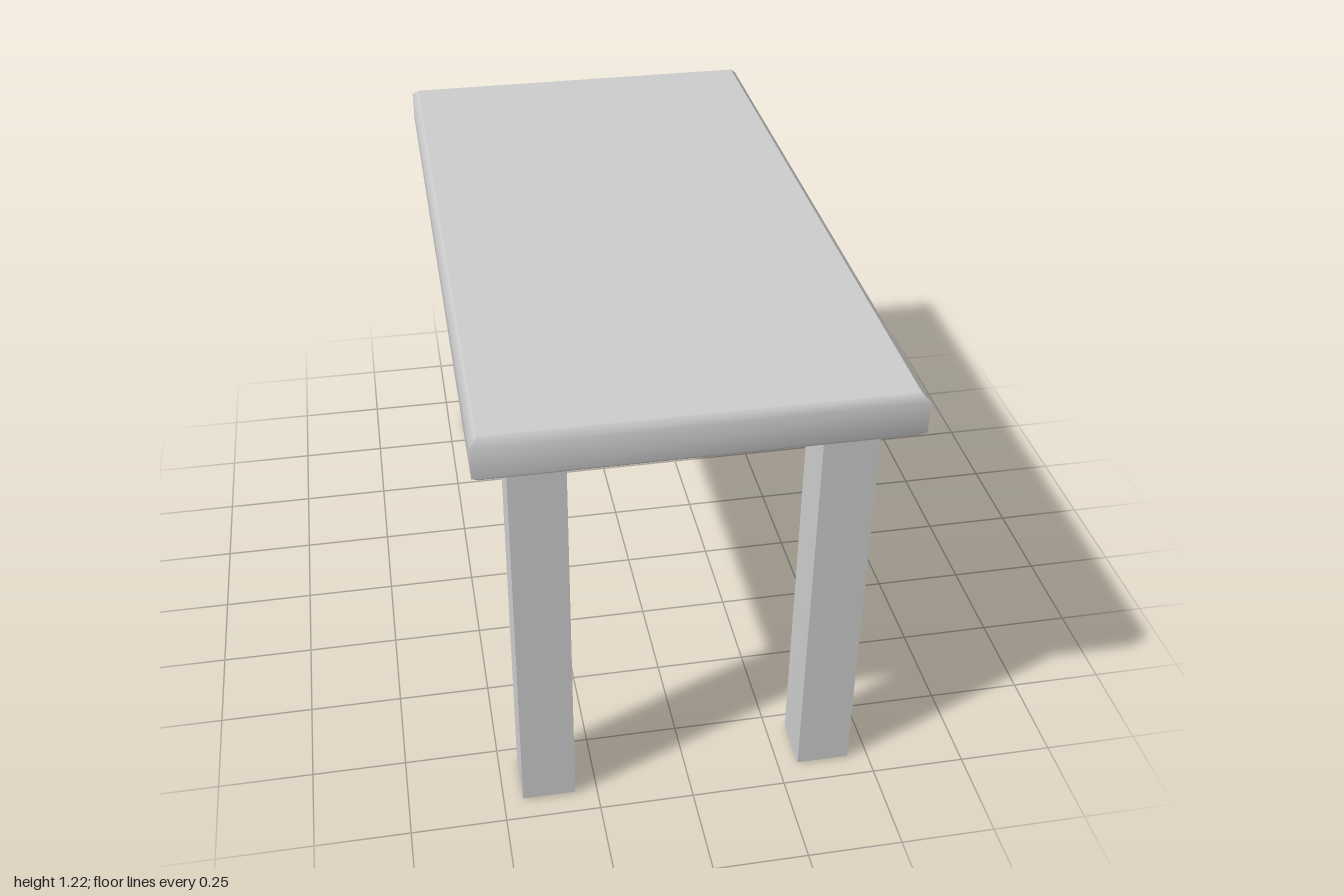
import * as THREE from 'three';

const CORNERS = [[1, 1], [1, -1], [-1, -1], [-1, 1]];

// Block standing on y = 0 with chamfered top and bottom rims. Each side blends
// smoothly into its chamfers; the upright edges and the flat caps stay sharp.
function chamferedBlock(width, height, depth, bevel) {
  const rows = [[0, bevel], [bevel, 0], [height - bevel, 0], [height, bevel]]; // [y, inset]
  const positions = [];
  const index = [];
  const addCorner = ([sx, sz], [y, inset]) =>
    positions.push(sx * (width / 2 - inset), y, sz * (depth / 2 - inset));

  // four side strips
  for (let side = 0; side < 4; side++) {
    const start = positions.length / 3;
    for (const row of rows) {
      addCorner(CORNERS[side], row);
      addCorner(CORNERS[(side + 1) % 4], row);
    }
    for (let r = 0; r < rows.length - 1; r++) {
      const a = start + r * 2;
      index.push(a, a + 1, a + 3, a, a + 3, a + 2);
    }
  }

  // bottom and top caps
  for (const [row, up] of [[rows[0], false], [rows[3], true]]) {
    const a = positions.length / 3;
    CORNERS.forEach((corner) => addCorner(corner, row));
    if (up) index.push(a, a + 1, a + 2, a, a + 2, a + 3);
    else index.push(a, a + 2, a + 1, a, a + 3, a + 2);
  }

  const geometry = new THREE.BufferGeometry();
  geometry.setAttribute('position', new THREE.Float32BufferAttribute(positions, 3));
  geometry.setIndex(index);
  geometry.computeVertexNormals();
  return geometry;
}

export function createModel() {
  const table = new THREE.Group();
  table.name = 'table';
  const material = new THREE.MeshStandardMaterial({ color: 0xcccccc });

  // tabletop
  const top = new THREE.Mesh(chamferedBlock(1.066, 0.12, 2, 0.018), material);
  top.name = 'tabletop';
  top.position.y = 1.1;
  table.add(top);

  // legs, set slightly off centre
  const legGeometry = chamferedBlock(0.14, 1.104, 0.14, 0.004);
  for (const [zName, z] of [['front', 0.867], ['back', -0.841]]) {
    for (const [xName, x] of [['Left', 0.374], ['Right', -0.379]]) {
      const leg = new THREE.Mesh(legGeometry, material);
      leg.name = `${zName}${xName}Leg`;
      leg.position.set(x, 0, z);
      table.add(leg);
    }
  }
  return table;
}
